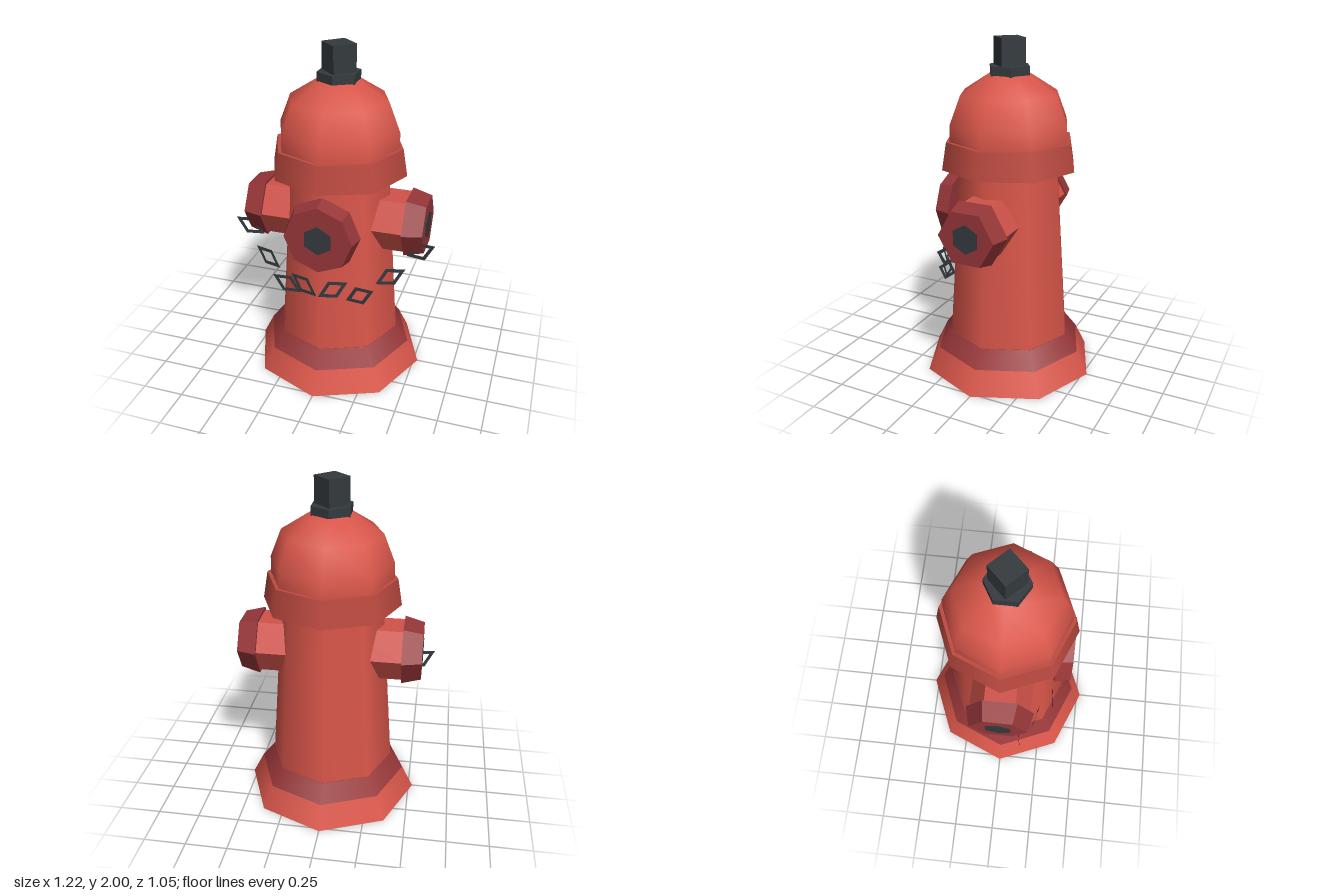
import * as THREE from 'three';

const mat = (color, extra = {}) => new THREE.MeshStandardMaterial({ color, ...extra });

export function createModel() {
  const root = new THREE.Group();
  root.name = 'fireHydrant';

  const red = mat(0xd9564a);
  const flangeRed = mat(0xbd4a40);
  const darkRed = mat(0x963638);
  const redFlat = mat(0xd0524a, { flatShading: true });
  const capRed = mat(0x963638, { flatShading: true });
  const iron = mat(0x343a3e, { flatShading: true });
  const chainIron = mat(0x343a3e, { side: THREE.DoubleSide });

  function add(parent, name, geometry, material) {
    const mesh = new THREE.Mesh(geometry, material);
    mesh.name = name;
    parent.add(mesh);
    return mesh;
  }

  // Tapered prism spanning start..end along y, corners on the z axis
  function prism(r0, r1, start, end, sides) {
    return new THREE.CylinderGeometry(r1, r0, end - start, sides).translate(0, (start + end) / 2, 0);
  }

  // Eight-sided barrel
  add(root, 'baseFoot', prism(0.525, 0.455, 0, 0.14, 8), red);
  add(root, 'baseRing', prism(0.455, 0.378, 0.14, 0.24, 8), darkRed);
  add(root, 'barrel', prism(0.375, 0.3, 0.24, 1.28, 8), red);
  add(root, 'flange', prism(0.405, 0.378, 1.27, 1.43, 8), flangeRed);

  // Domed bonnet
  const domeProfile = [[0.357, 1.43], [0.355, 1.525], [0.29, 1.69], [0.125, 1.795], [0, 1.8]]
    .map(([r, y]) => new THREE.Vector2(r, y));
  add(root, 'bonnetDome', new THREE.LatheGeometry(domeProfile, 8), red);

  // Operating nut on top
  add(root, 'nutCollar', prism(0.125, 0.125, 1.79, 1.845, 6), iron);
  add(root, 'operatingNut', prism(0.1, 0.1, 1.845, 2, 4), iron);

  // Side outlets: hexagonal pipe, tapered cap and stud, one on each side
  for (const side of [1, -1]) {
    const outlet = new THREE.Group();
    outlet.name = side > 0 ? 'leftOutlet' : 'rightOutlet';
    const alongX = (g) => g.rotateZ(-Math.PI / 2);
    add(outlet, 'outletPipe', alongX(prism(0.18, 0.18, 0.1, 0.43, 6)), redFlat);
    add(outlet, 'outletCap', alongX(prism(0.2, 0.17, 0.425, 0.54, 6)), capRed);
    add(outlet, 'outletStud', alongX(prism(0.085, 0.085, 0.5, 0.543, 6).rotateY(Math.PI / 6)), iron);
    outlet.position.y = 0.985;
    outlet.rotation.y = side > 0 ? 0 : Math.PI;
    root.add(outlet);
  }

  // Large front outlet
  const front = new THREE.Group();
  front.name = 'frontOutlet';
  const alongZ = (g) => g.rotateX(Math.PI / 2);
  add(front, 'frontCap', alongZ(prism(0.222, 0.2, 0.298, 0.393, 8)), capRed);
  add(front, 'frontStud', alongZ(prism(0.088, 0.088, 0.36, 0.396, 6)), iron);
  front.position.y = 0.988;
  root.add(front);

  // Chain link: flat slanted frame, slanting outward toward the top
  function linkGeometry(mirror) {
    const corners = [[-0.085, -0.0525], [0.027, -0.0525], [0.085, 0.0525], [-0.027, 0.0525]]
      .map(([x, y]) => new THREE.Vector2(x * mirror, y));
    const shape = new THREE.Shape(corners);
    shape.holes.push(new THREE.Path(corners.map((p) => p.clone().multiplyScalar(0.6))));
    return new THREE.ShapeGeometry(shape);
  }

  // Link centres (x, y, z) and change of z across each link
  const links = [
    [0.087, 0.687, 0.39, -0.04],
    [0.223, 0.623, 0.31, 0.016],
    [0.378, 0.723, 0.213, -0.043],
    [0.528, 0.867, 0.12, 0.028],
  ];
  const chain = new THREE.Group();
  chain.name = 'chain';
  for (const side of [1, -1]) {
    for (const [x, y, z, dz] of links) {
      const link = add(chain, 'chainLink', linkGeometry(side), chainIron);
      link.position.set(x * side, y, z);
      link.rotation.y = -side * Math.atan2(dz, 0.17);
    }
  }
  root.add(chain);

  return root;
}
